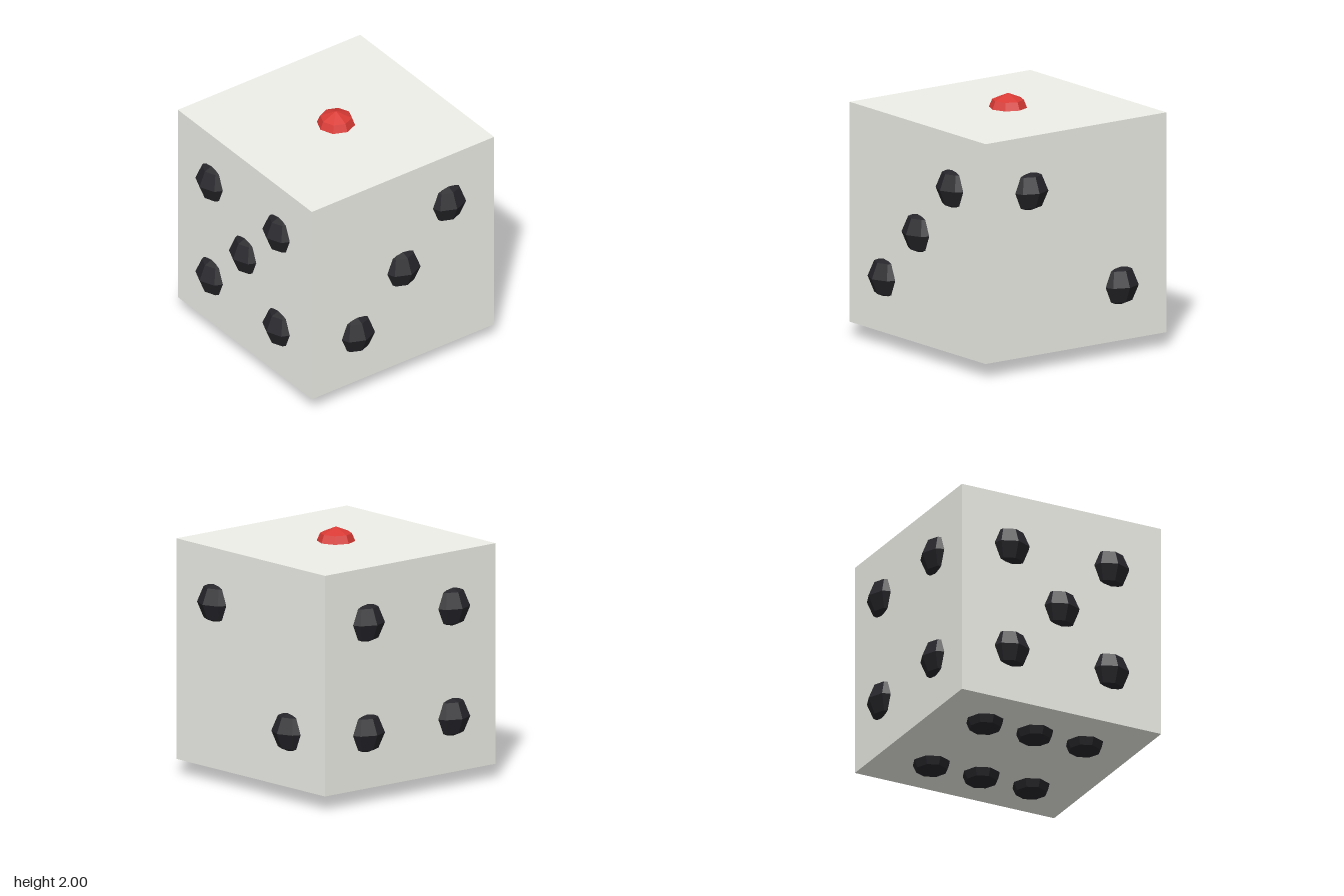
import * as THREE from 'three';

export function createModel() {
  const group = new THREE.Group();
  const size = 1.77, half = size / 2;
  const radius = 0.177, depth = 1 - radius; // pips are partly sunk into the faces
  const s = size / 4;

  const bodyMat = new THREE.MeshStandardMaterial({ color: 0xeeeee8 });
  const darkMat = new THREE.MeshStandardMaterial({ color: 0x25252a, flatShading: true });
  const redMat = new THREE.MeshStandardMaterial({ color: 0xd93a35, flatShading: true });

  // Cube body
  const body = new THREE.Mesh(new THREE.BoxGeometry(half * 2, half * 2, half * 2), bodyMat);
  body.name = 'cubeBody';
  body.position.y = 1;
  group.add(body);

  // Each face: how its (u, v) pip coordinates map to space, and its pips
  const corners = [[-1, -1], [-1, 1], [1, -1], [1, 1]];
  const faces = [
    { name: 'top', at: (u, v) => [u, depth, v], pips: [[0, 0]], mat: redMat },
    { name: 'right', at: (u, v) => [depth, v, u], pips: [[1, 1], [-1, -1]] },
    { name: 'front', at: (u, v) => [u, v, depth], pips: [[1, 1], [0, 0], [-1, -1]] },
    { name: 'back', at: (u, v) => [u, v, -depth], pips: corners },
    { name: 'left', at: (u, v) => [-depth, v, u], pips: [...corners, [0, 0]] },
    { name: 'bottom', at: (u, v) => [u, -depth, v], pips: [...corners, [-1, 0], [1, 0]] },
  ];

  // Low-poly pips, all with an upright axis
  const pipGeo = new THREE.SphereGeometry(radius, 8, 4);
  for (const { name, at, pips, mat = darkMat } of faces) {
    const facePips = new THREE.Group();
    facePips.name = `${name}Pips`;
    facePips.position.y = 1;
    for (const [u, v] of pips) {
      const pip = new THREE.Mesh(pipGeo, mat);
      pip.name = `${name}Pip`;
      pip.position.set(...at(u * s, v * s));
      facePips.add(pip);
    }
    group.add(facePips);
  }
  return group;
}
